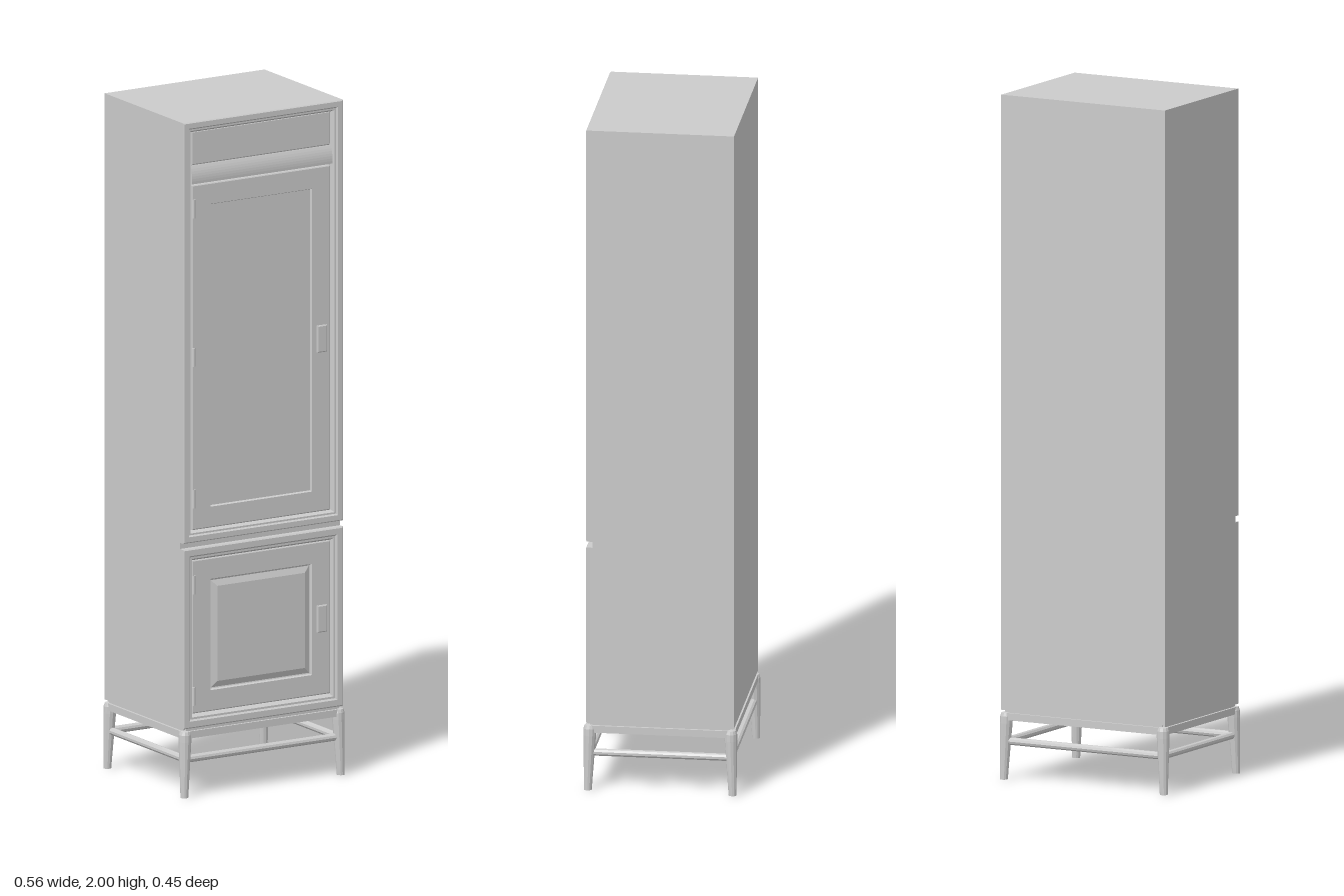
import * as THREE from 'three';

const material = new THREE.MeshStandardMaterial({ color: 0xcccccc, flatShading: true, side: THREE.DoubleSide });

function add(parent, name, geometry, x = 0, y = 0, z = 0) {
  const mesh = new THREE.Mesh(geometry, material);
  mesh.name = name;
  mesh.position.set(x, y, z);
  parent.add(mesh);
  return mesh;
}

function box(parent, name, x0, x1, y0, y1, z0, z1) {
  return add(parent, name, new THREE.BoxGeometry(x1 - x0, y1 - y0, z1 - z0),
    (x0 + x1) / 2, (y0 + y1) / 2, (z0 + z1) / 2);
}

// Nested rectangles: each step is [inset from the outline, z]; optionally capped in the middle
function moulding(x0, x1, y0, y1, steps, capped) {
  const pos = [], index = [];
  for (const [d, z] of steps) {
    pos.push(x0 + d, y0 + d, z, x1 - d, y0 + d, z, x1 - d, y1 - d, z, x0 + d, y1 - d, z);
  }
  for (let s = 0; s < steps.length - 1; s++) {
    for (let i = 0; i < 4; i++) {
      const a = s * 4 + i, b = s * 4 + (i + 1) % 4;
      index.push(a, b, b + 4, a, b + 4, a + 4);
    }
  }
  if (capped) {
    const c = (steps.length - 1) * 4;
    index.push(c, c + 1, c + 2, c, c + 2, c + 3);
  }
  const g = new THREE.BufferGeometry();
  g.setAttribute('position', new THREE.Float32BufferAttribute(pos, 3));
  g.setIndex(index);
  const flat = g.toNonIndexed();
  flat.computeVertexNormals();
  return flat;
}

// Hinged door with framed panel, pull and barrel hinges
function door(name, y0, y1, field, pullY, hingeYs) {
  const group = new THREE.Group();
  group.name = name;
  const steps = [[0, 0.194], [0, 0.205], [0.003, 0.207], [0.062, 0.207], [0.065, 0.2], ...field];
  add(group, 'doorPanel', moulding(-0.237, 0.232, y0, y1, steps, true));
  add(group, 'pullPlate', moulding(0.185, 0.218, pullY - 0.04, pullY + 0.04,
    [[0, 0.206], [0, 0.211], [0.003, 0.213]], true));
  for (const y of hingeYs) {
    add(group, 'hinge', new THREE.CylinderGeometry(0.005, 0.005, 0.055, 8), -0.231, y, 0.206);
  }
  return group;
}

export function createModel() {
  const model = new THREE.Group();
  const W = 0.271, back = -0.215, face = 0.196;

  // Carcass with the groove left open between the two front frames
  box(model, 'carcass', -W, W, 0.203, 2, back, face);

  // Front frames, bevelled inwards around the openings
  const frame = [[0, face], [0, 0.212], [0.003, 0.215], [0.018, 0.215],
    [0.022, 0.21], [0.027, 0.21], [0.033, 0.2], [0.034, face]];
  add(model, 'upperFrame', moulding(-W, W, 0.753, 2, frame, false));
  const lowerFrame = frame.map(([d, z]) => [d * 1.15, z]);
  add(model, 'lowerFrame', moulding(-W, W, 0.203, 0.735, lowerFrame, false));

  // Flat top panel and the rounded rail beneath it
  add(model, 'topPanel', moulding(-0.235, 0.235, 1.868, 1.968, [[0, face], [0, 0.198], [0.003, 0.2]], true));
  const rail = new THREE.Shape();
  rail.moveTo(0, 1.814);
  rail.lineTo(0.012, 1.814);
  rail.quadraticCurveTo(0.016, 1.845, 0, 1.872);
  const railGeometry = new THREE.ExtrudeGeometry(rail, { depth: 0.476, bevelEnabled: false, curveSegments: 8 });
  railGeometry.rotateY(-Math.PI / 2);
  add(model, 'topRail', railGeometry, 0.238, 0, face);

  // Doors: plain field above, raised field below
  model.add(door('upperDoor', 0.788, 1.81, [[0.068, 0.2]], 1.3, [1.74, 1.3, 0.88]));
  model.add(door('lowerDoor', 0.244, 0.698, [[0.068, 0.199], [0.086, 0.206]], 0.47, [0.625, 0.295]));

  // Stand: recessed spacer, rails and stretchers
  const stand = new THREE.Group();
  stand.name = 'stand';
  model.add(stand);
  const lx = 0.259, lz = 0.204;
  for (const s of [-1, 1]) {
    const apronX = add(stand, 'apron', new THREE.BoxGeometry(lx * 2, 0.021, 0.026), 0, 0.185, s * lz);
    const apronZ = add(stand, 'sideApron', new THREE.BoxGeometry(0.026, 0.021, lz * 2), s * lx, 0.185, 0);
    const spacerX = add(stand, 'spacer', new THREE.BoxGeometry(lx * 2, 0.012, 0.012), 0, 0.198, s * lz);
    const spacerZ = add(stand, 'sideSpacer', new THREE.BoxGeometry(0.012, 0.012, lz * 2), s * lx, 0.198, 0);
    const bar = add(stand, 'stretcher', new THREE.CylinderGeometry(0.011, 0.011, lx * 2, 10), 0, 0.112, s * lz);
    bar.rotation.z = Math.PI / 2;
    const sideBar = add(stand, 'sideStretcher', new THREE.CylinderGeometry(0.011, 0.011, lz * 2, 10), s * lx, 0.112, 0);
    sideBar.rotation.x = Math.PI / 2;
  }

  // Tapered legs, rounded at the shoulder and leaning slightly outwards
  const profile = [[0, 0], [0.0115, 0], [0.013, 0.04], [0.0165, 0.12], [0.0185, 0.165], [0.0185, 0.185], [0.0155, 0.195], [0, 0.198]]
    .map(([r, y]) => new THREE.Vector2(r, y));
  for (const sx of [-1, 1]) {
    for (const sz of [-1, 1]) {
      const g = new THREE.LatheGeometry(profile, 12);
      const p = g.attributes.position;
      for (let i = 0; i < p.count; i++) {
        const lean = 0.006 * (1 - p.getY(i) / 0.198);
        p.setX(i, p.getX(i) + sx * lean);
        p.setZ(i, p.getZ(i) + sz * lean);
      }
      g.computeVertexNormals();
      add(stand, 'leg', g, sx * lx, 0, sz * lz);
    }
  }
  return model;
}
